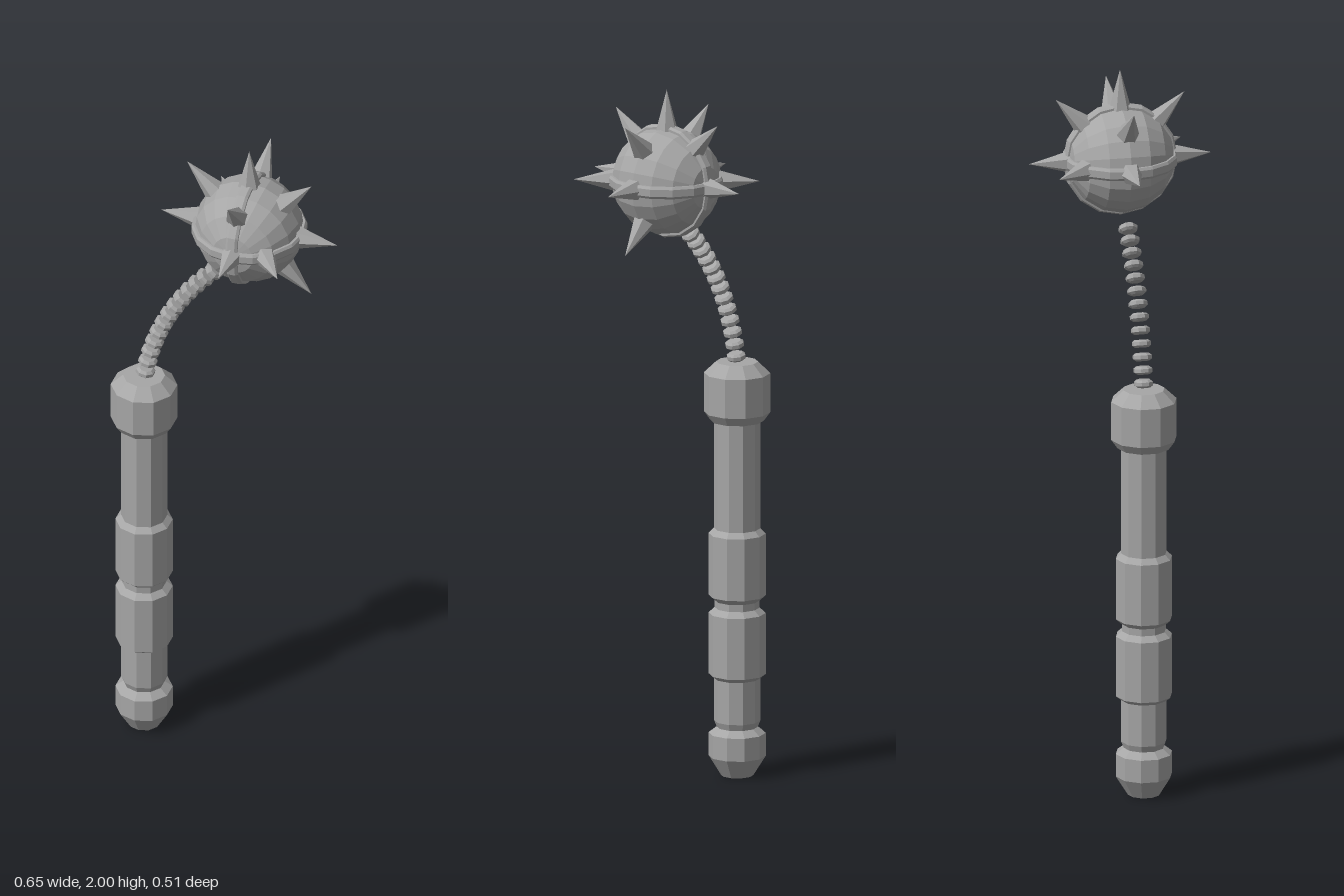
import * as THREE from 'three';

const steel = new THREE.MeshStandardMaterial({ color: 0xa6a6a6, flatShading: true });
steel.name = 'steel grey';

function addMesh(parent, name, geometry) {
  const mesh = new THREE.Mesh(geometry, steel);
  mesh.name = name;
  parent.add(mesh);
  return mesh;
}

// Revolve a short [radius, height] profile, listed from bottom to top
function lathe(profile, sides, startAngle = 0) {
  const points = profile.map(([r, y]) => new THREE.Vector2(r, y));
  return new THREE.LatheGeometry(points, sides, startAngle);
}

const UP = new THREE.Vector3(0, 1, 0);

export function createModel() {
  const model = new THREE.Group();
  model.name = 'flail';

  // Ten-sided handle: pommel, grip, two collars, shaft and cap
  const handle = addMesh(model, 'handle', lathe([
    [0, 0], [0.045, 0], [0.079, 0.055], [0.079, 0.12], [0.057, 0.137], [0.064, 0.155],
    [0.064, 0.275], [0.079, 0.287], [0.079, 0.46], [0.062, 0.475], [0.062, 0.495],
    [0.079, 0.51], [0.079, 0.685], [0.064, 0.70], [0.064, 1.005], [0.074, 1.005],
    [0.092, 1.03], [0.092, 1.14], [0.058, 1.172], [0, 1.172],
  ], 10));
  handle.position.x = -0.24;

  // Chain of bevelled discs following a bend
  const chain = new THREE.Group();
  chain.name = 'chain';
  model.add(chain);
  const bend = new THREE.QuadraticBezierCurve3(
    new THREE.Vector3(-0.236, 1.187, 0),
    new THREE.Vector3(-0.199, 1.405, 0),
    new THREE.Vector3(-0.037, 1.572, 0),
  );
  const linkGeometry = lathe([
    [0, -0.011], [0.019, -0.011], [0.027, -0.005], [0.027, 0.005], [0.019, 0.011], [0, 0.011],
  ], 8, Math.PI / 8);
  const links = 13;
  for (let i = 0; i < links; i++) {
    const t = i / (links - 1);
    const link = addMesh(chain, 'chainLink', linkGeometry);
    link.position.copy(bend.getPointAt(t));
    link.quaternion.setFromUnitVectors(UP, bend.getTangentAt(t));
  }

  // Spiked head
  const head = new THREE.Group();
  head.name = 'head';
  head.position.set(0.067, 1.743, 0);
  model.add(head);

  const ball = addMesh(head, 'ball', new THREE.SphereGeometry(0.151, 20, 8));
  ball.rotation.x = Math.PI / 2;

  // Two crossing bands around the ball
  const bandGeometry = lathe([
    [0.143, -0.017], [0.155, -0.017], [0.160, -0.010],
    [0.160, 0.010], [0.155, 0.017], [0.143, 0.017],
  ], 16);
  addMesh(head, 'equatorBand', bandGeometry);
  addMesh(head, 'uprightBand', bandGeometry).rotation.z = Math.PI / 2;

  // Six-sided spikes pointing outwards
  const spikeGeometry = new THREE.ConeGeometry(0.033, 0.119, 6);
  spikeGeometry.translate(0, 0.1975, 0);
  const directions = [
    [0, 1, 0], [1, 0, 0], [-1, 0, 0], [0, 0, 1], [0, 0, -1],
    [1, 1, 0], [-1, 1, 0], [0, 1, 1], [0, 1, -1], [1, -1, 0],
    [0.6, 0, 0.8], [-0.6, 0, -0.8],
  ];
  for (const d of directions) {
    const spike = addMesh(head, 'spike', spikeGeometry);
    spike.quaternion.setFromUnitVectors(UP, new THREE.Vector3(...d).normalize());
  }

  return model;
}
